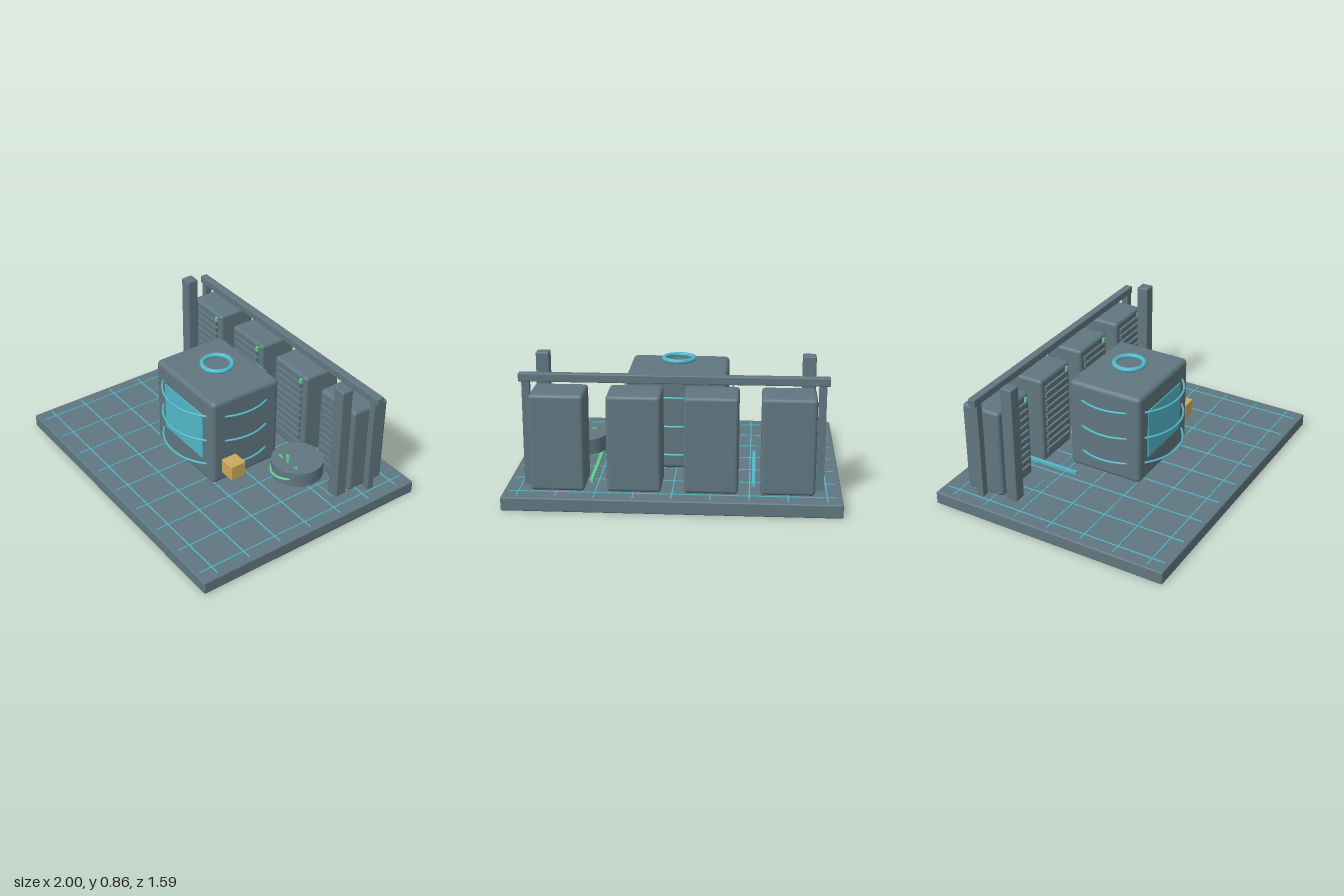
import * as THREE from 'three';
import { RoundedBoxGeometry } from 'three/addons/geometries/RoundedBoxGeometry.js';

const paint = (name, color) => {
  const m = new THREE.MeshStandardMaterial({ color });
  m.name = name;
  return m;
};

export function createModel() {
  const steel = paint('slate steel', 0x607780);
  const cyan = paint('cyan glow', 0x52b7c8);
  const green = paint('green glow', 0x62cb8c);
  const amber = paint('amber', 0xcaa95a);

  const model = new THREE.Group();
  model.name = 'serverRoom';

  const add = (name, geometry, material, x, y, z, parent = model) => {
    const mesh = new THREE.Mesh(geometry, material);
    mesh.name = name;
    mesh.position.set(x, y, z);
    parent.add(mesh);
    return mesh;
  };
  const box = (w, h, d) => new THREE.BoxGeometry(w, h, d);
  const rounded = (w, h, d, r) => new RoundedBoxGeometry(w, h, d, 3, r);
  const ring = (name, radius, tube, material, x, y, z) => {
    const geometry = new THREE.TorusGeometry(radius, tube, 12, 64).rotateX(Math.PI / 2);
    return add(name, geometry, material, x, y, z);
  };

  // Floor slab with an inlaid grid
  add('floor', rounded(2, 0.083, 1.59, 0.008), steel, 0, 0.0415, 0);
  for (let i = -4; i <= 4; i++) {
    add('floorLineZ', box(0.007, 0.006, 1.53), cyan, i * 0.2275, 0.084, 0);
  }
  for (let i = -3; i <= 3; i++) {
    add('floorLineX', box(1.94, 0.006, 0.007), cyan, 0, 0.084, i * 0.2275);
  }

  // Central core: housing, screen, hoops and top ring
  add('coreHousing', rounded(0.62, 0.605, 0.5, 0.03), steel, 0, 0.39, 0);
  add('coreScreen', box(0.41, 0.33, 0.008), cyan, 0, 0.4, 0.252);
  for (const y of [0.21, 0.39, 0.572]) ring('coreHoop', 0.344, 0.007, cyan, 0, y, 0);
  ring('coreTopRing', 0.094, 0.015, cyan, 0, 0.735, 0);

  // Four racks with vent slats, a status light and a floor marker
  for (const x of [-0.68, -0.227, 0.227, 0.68]) {
    const rack = new THREE.Group();
    rack.name = 'rack';
    rack.position.set(x, 0, -0.535);
    model.add(rack);
    add('rackCabinet', rounded(0.322, 0.59, 0.265, 0.022), steel, 0, 0.378, 0, rack);
    for (let i = 0; i < 10; i++) {
      add('ventSlat', box(0.25, 0.03, 0.018), steel, 0, 0.157 + i * 0.05, 0.139, rack);
    }
    add('statusLight', box(0.02, 0.03, 0.016), green, 0.117, 0.637, 0.139, rack);
    add('floorMarker', box(0.27, 0.006, 0.004), cyan, 0, 0.084, 0.248, rack);
  }

  // Front pillars, overhead rail and its legs
  for (const side of [-1, 1]) {
    add('pillar', rounded(0.08, 0.775, 0.078, 0.008), steel, side * 0.798, 0.468, -0.342);
    add('railLeg', box(0.045, 0.66, 0.045), steel, side * 0.873, 0.41, -0.533);
  }
  add('overheadRail', rounded(1.83, 0.05, 0.05, 0.006), steel, 0, 0.747, -0.535);

  // Conduits running between the racks
  add('leftAisleConduit', box(0.02, 0.02, 0.59), cyan, -0.478, 0.155, -0.392);
  add('rightAisleConduit', box(0.02, 0.02, 0.58), green, 0.475, 0.155, -0.395);

  // Drum with a green hoop and crossed rotor bars
  add('drum', new THREE.CylinderGeometry(0.162, 0.162, 0.095, 48), steel, 0.6, 0.243, -0.18);
  ring('drumHoop', 0.104, 0.008, green, 0.6, 0.243, -0.105);
  for (let i = 0; i < 3; i++) {
    const bar = add('rotorBar', box(0.026, 0.2, 0.01), green, 0.6, 0.245, -0.106);
    bar.rotation.z = (i * Math.PI) / 3;
  }

  // Small amber control block
  add('controlBlock', rounded(0.105, 0.102, 0.107, 0.006), amber, 0.407, 0.255, 0.164);

  return model;
}
